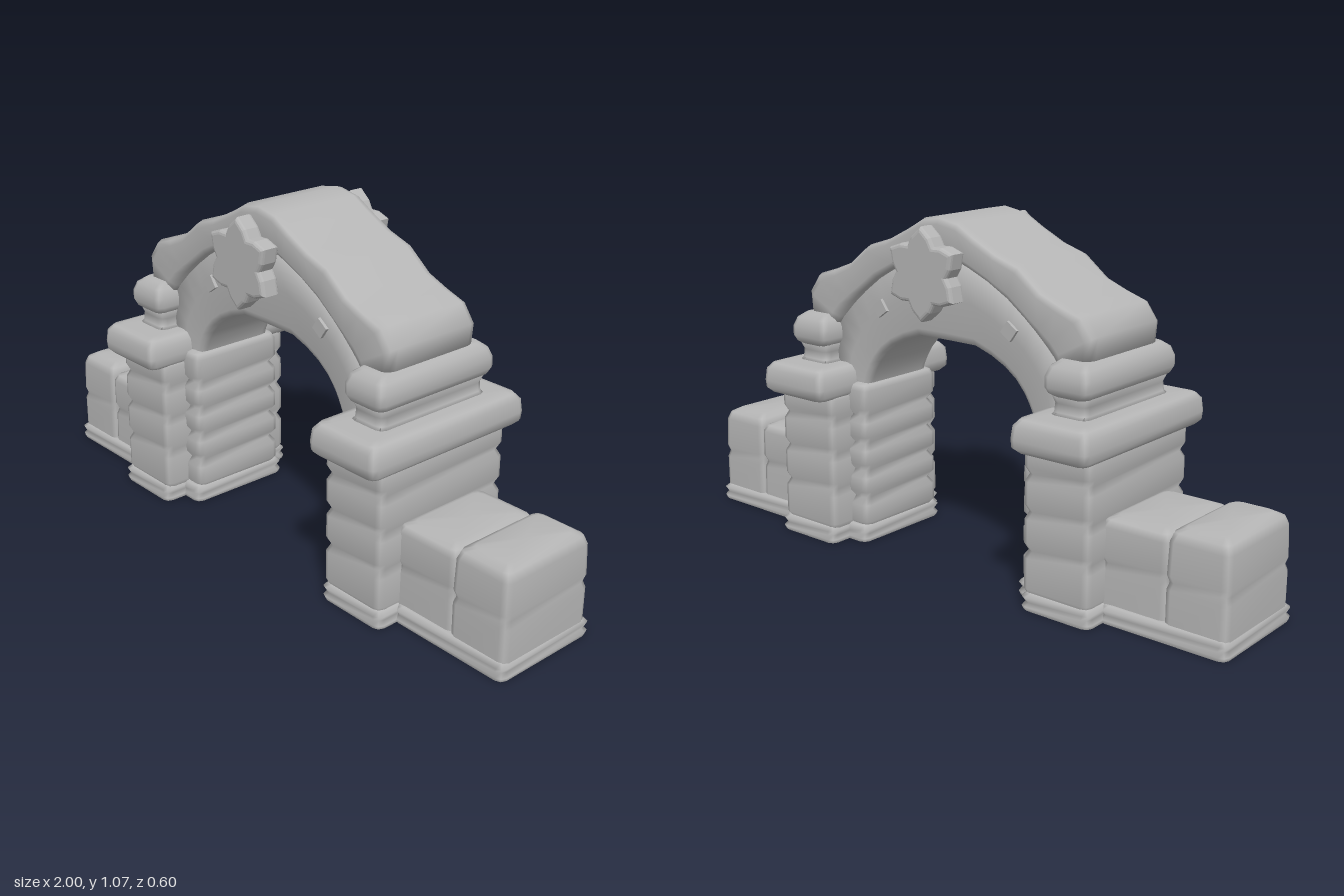
import * as THREE from 'three';

const stone = new THREE.MeshStandardMaterial({ color: 0xb6b6b6, side: THREE.DoubleSide });
stone.name = 'grey stone';

// Joins equal-sized closed rings of points into a smooth skin
function skin(rings, capStart, capEnd) {
  const n = rings[0].length;
  const pos = rings.flat(2);
  const idx = [];
  for (let i = 0; i < rings.length - 1; i++) {
    for (let j = 0; j < n; j++) {
      const a = i * n + j, b = i * n + (j + 1) % n;
      idx.push(a, b, b + n, a, b + n, a + n);
    }
  }
  const cap = (i, flip) => {
    const c = pos.length / 3;
    pos.push(...[0, 1, 2].map(k => rings[i].reduce((s, p) => s + p[k], 0) / n));
    for (let j = 0; j < n; j++) {
      const a = i * n + j, b = i * n + (j + 1) % n;
      idx.push(...(flip ? [b, a, c] : [a, b, c]));
    }
  };
  if (capStart) cap(0, true);
  if (capEnd) cap(rings.length - 1, false);
  const g = new THREE.BufferGeometry();
  g.setAttribute('position', new THREE.Float32BufferAttribute(pos, 3));
  g.setIndex(idx);
  g.computeVertexNormals();
  return g;
}

// Rounded rectangular block; profile is a list of [y, inset]
function block(x0, x1, halfZ, profile, closed = false) {
  const cx = (x0 + x1) / 2, hx = (x1 - x0) / 2, r = 0.022;
  const corners = [[1, 1], [1, -1], [-1, -1], [-1, 1]];
  const rings = profile.map(([y, inset]) => {
    const ring = [];
    corners.forEach(([sx, sz], k) => {
      for (let q = 0; q < 3; q++) {
        const a = (k - 1 + q / 2) * Math.PI / 2;
        ring.push([
          cx + sx * (hx - inset - r) + r * Math.cos(a), y,
          sz * (halfZ - inset - r) - r * Math.sin(a),
        ]);
      }
    });
    return ring;
  });
  return skin(rings, closed, true);
}

// Puffy courses between the given heights, ending in a soft top edge
function courses(ys, groove, top = 0.025) {
  const p = [];
  for (let i = 0; i < ys.length - 1; i++) {
    p.push([ys[i], groove], [ys[i] + 0.022, 0], [ys[i + 1] - 0.022, 0]);
  }
  const y = ys[ys.length - 1];
  p.push([y - 0.006, 0.008], [y, top]);
  return p;
}

// Sweeps a section of [fraction from outer to inner, z] along a mirrored arch
function archSweep(outer, inner, section) {
  const half = outer.map((o, i) => [o, inner[i]]);
  const flip = ([x, y]) => [-x, y];
  const left = half.slice(1).reverse().map(([o, i]) => [flip(o), flip(i)]);
  const rings = [...left, ...half].map(([o, i]) => section.map(([f, z]) =>
    [o[0] + (i[0] - o[0]) * f, o[1] + (i[1] - o[1]) * f, z]));
  return skin(rings, true, true);
}

export function createModel() {
  const model = new THREE.Group();
  model.name = 'stoneArchGate';
  const add = (name, geometry, parent = model) => {
    const m = new THREE.Mesh(geometry, stone);
    m.name = name;
    parent.add(m);
    return m;
  };

  // Side walls and pillars, open underneath
  const trim = [[0, 0.004], [0.012, 0], [0.024, 0.008], [0.04, 0], [0.052, 0.012], [0.054, 0.02]];
  for (const s of [1, -1]) {
    const side = new THREE.Group();
    side.name = s > 0 ? 'leftSide' : 'rightSide';
    model.add(side);
    const put = (name, a, b, hz, profile, closed) =>
      add(name, block(Math.min(s * a, s * b), Math.max(s * a, s * b), hz, profile, closed), side);

    put('pillarColumn', 0.375, 0.605, 0.245, courses([0.04, 0.175, 0.29, 0.4, 0.49], 0.01));
    put('innerQuoins', 0.31, 0.4, 0.165, courses([0.04, 0.14, 0.23, 0.32, 0.41, 0.515], 0.014));
    put('wallInnerBlock', 0.58, 0.805, 0.165,
      [[0.04, 0], [0.15, 0.002], [0.17, 0.008], [0.19, 0], [0.275, 0], [0.295, 0.01], [0.305, 0.035]]);
    put('wallOuterBlock', 0.795, 0.99, 0.17,
      [[0.04, 0], [0.15, 0], [0.17, 0.006], [0.19, 0], [0.285, 0.003], [0.31, 0.012], [0.323, 0.035]]);

    // Base trims
    put('wallTrim', 0.59, 0.998, 0.183, trim);
    put('pillarTrim', 0.375, 0.615, 0.254, trim);
    put('quoinTrim', 0.306, 0.42, 0.18, trim);

    // Capitals
    put('lowerCapital', 0.367, 0.627, 0.3,
      [[0.468, 0.03], [0.472, 0.015], [0.485, 0.002], [0.51, 0], [0.548, 0.004], [0.566, 0.018], [0.572, 0.04]], true);
    put('capitalNeck', 0.425, 0.567, 0.215,
      [[0.56, 0], [0.58, 0.014], [0.605, 0.016], [0.65, 0]], true);
    put('upperCapital', 0.422, 0.572, 0.224,
      [[0.622, 0.022], [0.632, 0.008], [0.65, 0], [0.68, 0], [0.708, 0.01], [0.724, 0.03]], true);
  }

  // Arch: thick wavy rim over a recessed face
  const crest = [[0, 1.068], [0.07, 1.055], [0.13, 1.02], [0.21, 0.98], [0.29, 0.955],
    [0.37, 0.892], [0.44, 0.865], [0.51, 0.843], [0.548, 0.79], [0.54, 0.722]];
  const rimEdge = [[0, 0.95], [0.06, 0.942], [0.11, 0.925], [0.18, 0.895], [0.25, 0.855],
    [0.31, 0.81], [0.35, 0.775], [0.385, 0.74], [0.41, 0.715], [0.43, 0.69]];
  add('archRim', archSweep(crest, rimEdge, [[0, -0.14], [0, 0.14], [0.06, 0.16], [0.2, 0.17],
    [0.8, 0.17], [0.95, 0.16], [1, 0.135], [1, -0.135], [0.95, -0.16], [0.8, -0.17], [0.2, -0.17], [0.06, -0.16]]));

  const faceTop = [[0, 0.97], [0.1, 0.95], [0.19, 0.91], [0.26, 0.87], [0.33, 0.82],
    [0.38, 0.77], [0.42, 0.72], [0.45, 0.66], [0.45, 0.58], [0.45, 0.48]];
  const soffit = [[0, 0.695], [0.11, 0.695], [0.17, 0.675], [0.22, 0.65], [0.26, 0.62],
    [0.29, 0.585], [0.305, 0.56], [0.32, 0.53], [0.33, 0.5], [0.335, 0.47]];
  add('archFace', archSweep(faceTop, soffit, [[0, -0.145], [0, 0.145], [0.5, 0.142], [0.9, 0.136],
    [0.98, 0.128], [1, 0.11], [1, -0.11], [0.98, -0.128], [0.9, -0.136], [0.5, -0.142]]));

  // Small diamond studs, showing on both faces
  for (const s of [1, -1]) {
    const stud = add('diamondStud', new THREE.BoxGeometry(0.042, 0.042, 0.305));
    stud.position.set(s * 0.25, 0.765, 0);
    stud.rotation.z = s * 0.95;
  }

  // Six-lobed star ornaments, front and back
  const outline = [];
  for (let k = 0; k < 24; k++) {
    const a = k * Math.PI / 12 + Math.PI / 2;
    const r = 0.106 + 0.02 * Math.cos(6 * (a - Math.PI / 2));
    outline.push(new THREE.Vector2(r * Math.cos(a), r * Math.sin(a)));
  }
  const star = new THREE.ExtrudeGeometry(new THREE.Shape(outline), {
    depth: 0.038, bevelThickness: 0.012, bevelSize: 0.012, bevelOffset: -0.003, bevelSegments: 3,
  });
  star.translate(0, 0, -0.019);
  for (const s of [1, -1]) {
    const m = add(s > 0 ? 'frontStar' : 'backStar', star);
    m.position.set(0, 0.908, s * 0.214);
  }
  return model;
}
